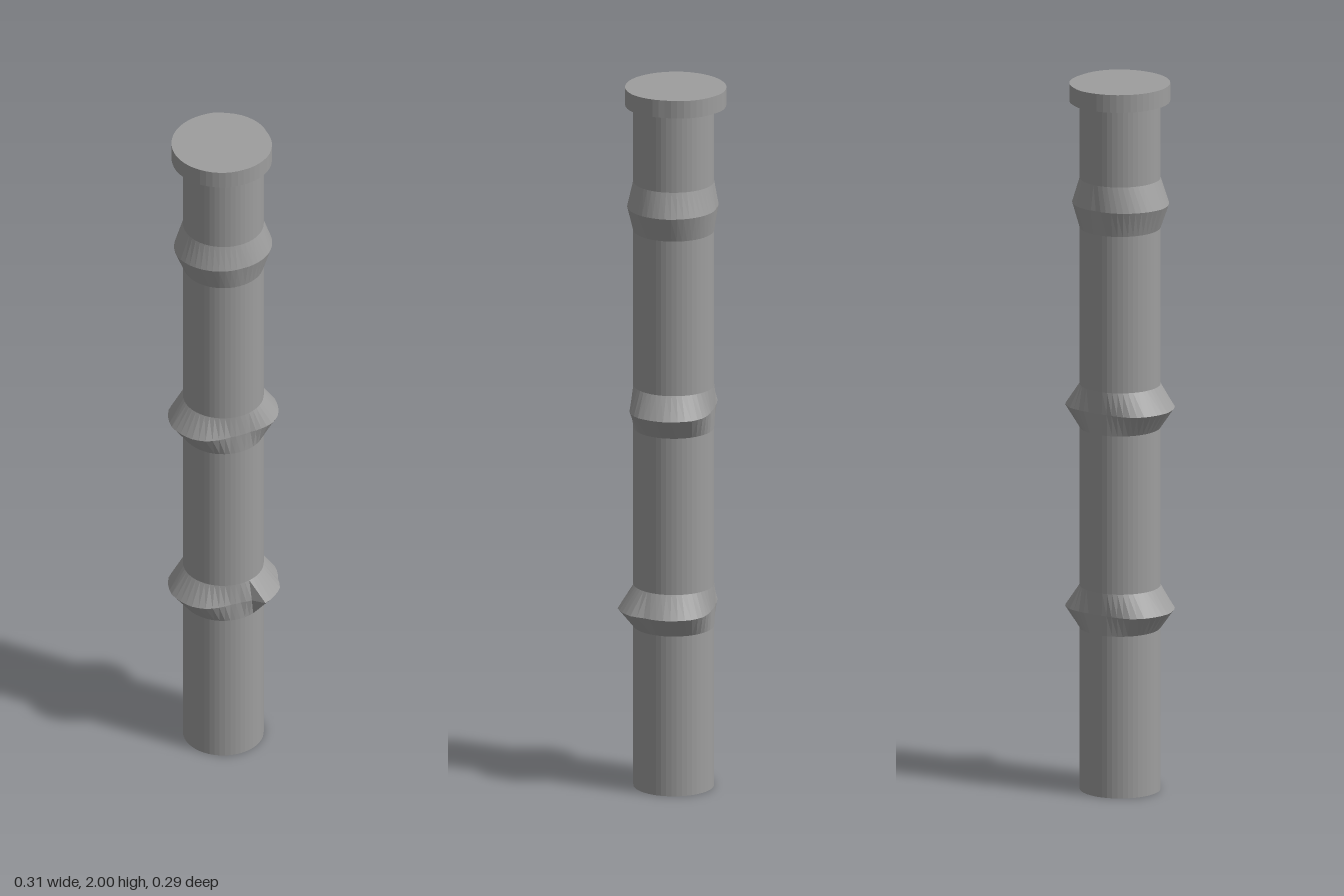
import * as THREE from 'three';

const SIDES = 48;
const POLE_RADIUS = 0.111;

// Reads a radius for an angle (degrees from +x towards +z) out of [angle, radius] pairs
function radiusAt(keys, deg) {
  const last = keys[keys.length - 1];
  const loop = [[last[0] - 360, last[1]], ...keys, [keys[0][0] + 360, keys[0][1]]];
  for (let i = 1; i < loop.length; i++) {
    const [a0, r0] = loop[i - 1];
    const [a1, r1] = loop[i];
    if (deg <= a1) return r0 + ((r1 - r0) * (deg - a0)) / (a1 - a0);
  }
  return loop[0][1];
}

// Turned ring whose rim (profile radius 1) follows an uneven hand-shaped outline
function unevenRing(name, profile, keys, material) {
  const points = profile.map(([r, y]) => new THREE.Vector2(r, y));
  const geometry = new THREE.LatheGeometry(points, SIDES);
  const pos = geometry.attributes.position;
  for (let i = 0; i < pos.count; i++) {
    const x = pos.getX(i);
    const z = pos.getZ(i);
    if (Math.hypot(x, z) < 0.5) continue;
    const deg = (THREE.MathUtils.radToDeg(Math.atan2(z, x)) + 360) % 360;
    const r = radiusAt(keys, deg);
    pos.setX(i, x * r);
    pos.setZ(i, z * r);
  }
  geometry.computeVertexNormals();
  const mesh = new THREE.Mesh(geometry, material);
  mesh.name = name;
  return mesh;
}

export function createModel() {
  const group = new THREE.Group();
  group.name = 'bambooPole';
  const material = new THREE.MeshStandardMaterial({ color: 0x9e9e9e, flatShading: true });

  // Stalk
  const stalk = new THREE.Mesh(
    new THREE.CylinderGeometry(POLE_RADIUS, POLE_RADIUS, 1.98, SIDES), material);
  stalk.name = 'stalk';
  stalk.position.y = 0.99;
  group.add(stalk);

  // Cap with one flattened corner at the back
  const capOutline = [[0, 0.131], [45, 0.135], [90, 0.133], [135, 0.136], [180, 0.141],
    [225, 0.143], [270, 0.145], [285, 0.146], [300, 0.142], [315, 0.141], [337.5, 0.137]];
  group.add(unevenRing('cap', [[0, 1.95], [1, 1.95], [1, 2], [0, 2]], capOutline, material));

  // Node collars: bulging at the sides, almost flush at front and back
  const back = [[150, 0.15], [180, 0.156], [210, 0.15], [225, 0.142], [240, 0.126],
    [255, 0.115], [270, 0.113], [285, 0.115], [300, 0.126], [315, 0.141], [330, 0.151]];
  const frontRight = [[90, 0.114], [105, 0.116], [120, 0.128], [135, 0.142], ...back];
  const upper = [[0, 0.136], [45, 0.132], [90, 0.126], [135, 0.132], [180, 0.14],
    [225, 0.13], [270, 0.12], [315, 0.13]];
  const middle = [[0, 0.155], [30, 0.15], [45, 0.142], [60, 0.128], [75, 0.116], ...frontRight];
  // The lowest collar has a knob at the front left
  const lower = [[0, 0.155], [22.5, 0.15], [37.5, 0.159], [67.5, 0.157], [75, 0.122], ...frontRight];

  const collars = [
    ['lowerCollar', 0.458, 0.515, 0.577, lower],
    ['middleCollar', 1.025, 1.085, 1.147, middle],
    ['upperCollar', 1.59, 1.66, 1.73, upper],
  ];
  for (const [name, bottom, peak, top, outline] of collars) {
    const profile = [[POLE_RADIUS, bottom], [1, peak], [POLE_RADIUS, top]];
    group.add(unevenRing(name, profile, outline, material));
  }
  return group;
}
